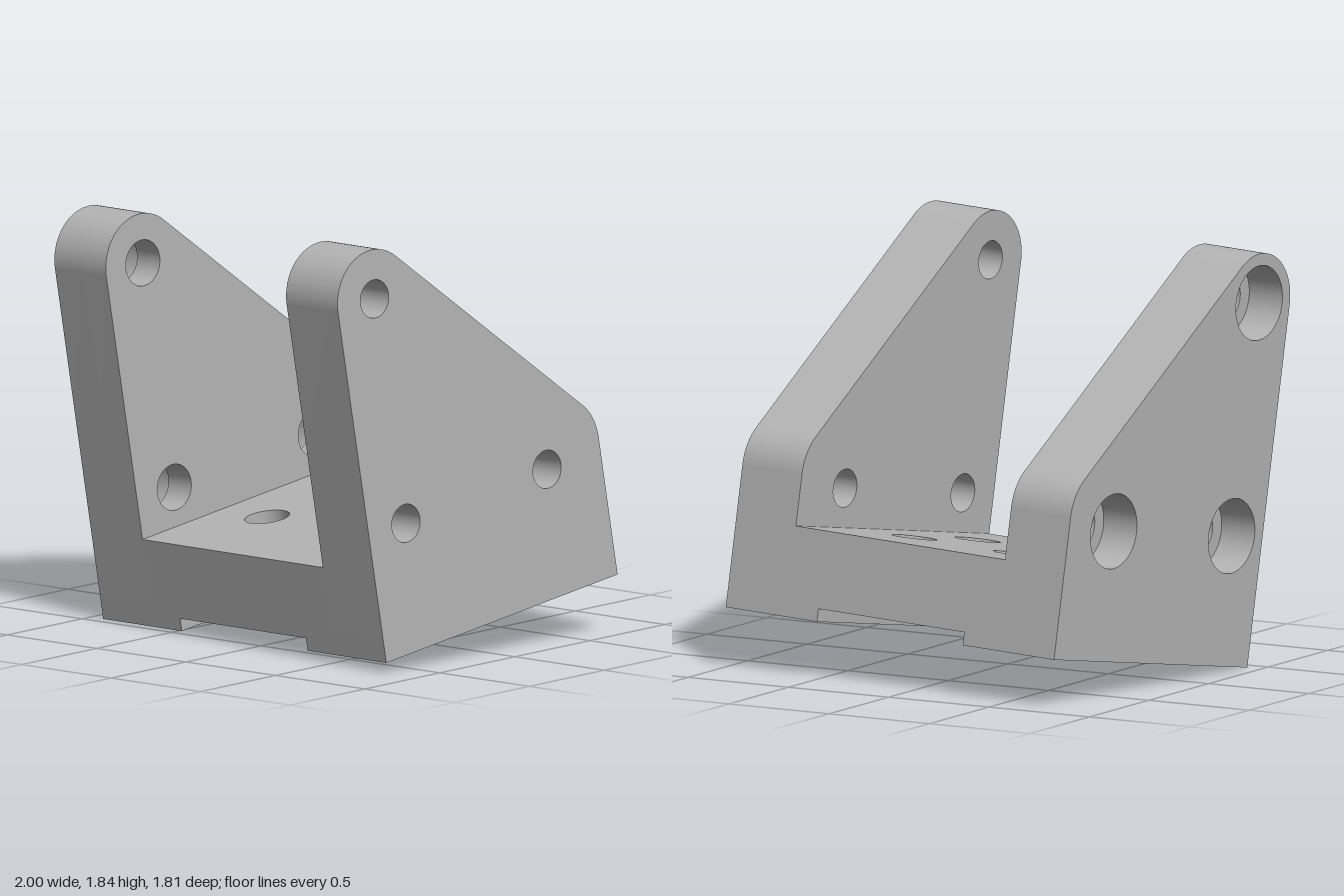
import * as THREE from 'three';
import { toCreasedNormals } from 'three/addons/utils/BufferGeometryUtils.js';

const WIDTH = 1.779, DEPTH = 1.377, PLATE = 0.323;
const FLOOR_TOP = 0.392, GROOVE = 0.056, FOOT = 0.494;

function addHoles(shape, centres, r) {
  for (const [x, y] of centres) {
    const hole = new THREE.Path();
    hole.absarc(x, y, r, 0, Math.PI * 2, true);
    shape.holes.push(hole);
  }
  return shape;
}

function extrude(shape, depth) {
  return new THREE.ExtrudeGeometry(shape, { depth, bevelEnabled: false, curveSegments: 24 });
}

// Side plate outline: depth from the front runs along x, height along y
function plateShape(holeRadius) {
  const s = new THREE.Shape();
  s.moveTo(0, 0);
  s.lineTo(DEPTH, 0);
  s.absarc(DEPTH - 0.23, 0.617, 0.23, 0, Math.PI / 4, false);
  s.absarc(0.215, 1.57, 0.215, Math.PI / 4, Math.PI, false);
  s.closePath();
  return addHoles(s, [[0.217, 1.57], [0.22, 0.563], [1.06, 0.563]], holeRadius);
}

// Floor outline between the plates, with four bolt holes
function floorShape(holeRadius) {
  const s = new THREE.Shape();
  s.moveTo(PLATE, 0);
  s.lineTo(WIDTH - PLATE, 0);
  s.lineTo(WIDTH - PLATE, DEPTH);
  s.lineTo(PLATE, DEPTH);
  s.closePath();
  const c = WIDTH / 2;
  return addHoles(s, [[c - 0.275, 0.465], [c + 0.275, 0.465], [c - 0.275, 0.917], [c + 0.275, 0.917]], holeRadius);
}

export function createModel() {
  const grey = new THREE.MeshStandardMaterial({ color: 0xb4b4b4 });
  grey.name = 'bracketGrey';

  const bracket = new THREE.Group();
  bracket.name = 'bracket';
  const add = (name, geometry) => {
    const mesh = new THREE.Mesh(toCreasedNormals(geometry, 0.5), grey);
    mesh.name = name;
    bracket.add(mesh);
  };

  // Upright plates; the -x one has counterbored holes on its outer face
  const plates = [
    ['counterboredPlateOuter', 0, 0.18, 0.163],
    ['counterboredPlateInner', 0.18, PLATE - 0.18, 0.1],
    ['plainPlate', WIDTH - PLATE, PLATE, 0.083],
  ];
  for (const [name, x, thickness, r] of plates) {
    add(name, extrude(plateShape(r), thickness).rotateY(Math.PI / 2).translate(x, 0, 0));
  }

  // Floor in two layers, giving counterbored bolt holes
  const layers = [
    ['floorLower', GROOVE, 0.26, 0.056],
    ['floorUpper', 0.26, FLOOR_TOP, 0.098],
  ];
  for (const [name, y0, y1, r] of layers) {
    add(name, extrude(floorShape(r), y1 - y0).rotateX(-Math.PI / 2).translate(0, y0, 0));
  }

  // Feet on either side of the groove underneath
  const footWidth = FOOT - PLATE;
  for (const [name, x] of [['rightFoot', PLATE], ['leftFoot', WIDTH - FOOT]]) {
    add(name, new THREE.BoxGeometry(footWidth, GROOVE, DEPTH)
      .translate(x + footWidth / 2, GROOVE / 2, -DEPTH / 2));
  }

  // The whole bracket is tilted: build its axes and place its front corner
  const across = new THREE.Vector3(0.992, 0.026, 0.122).normalize();
  const up = new THREE.Vector3(-0.12, -0.156, 0.98).cross(across).normalize();
  const front = across.clone().cross(up);
  bracket.quaternion.setFromRotationMatrix(new THREE.Matrix4().makeBasis(across, up, front));
  bracket.position.set(-0.93, 0.003, 0.443);

  const model = new THREE.Group();
  model.name = 'model';
  model.add(bracket);
  return model;
}
